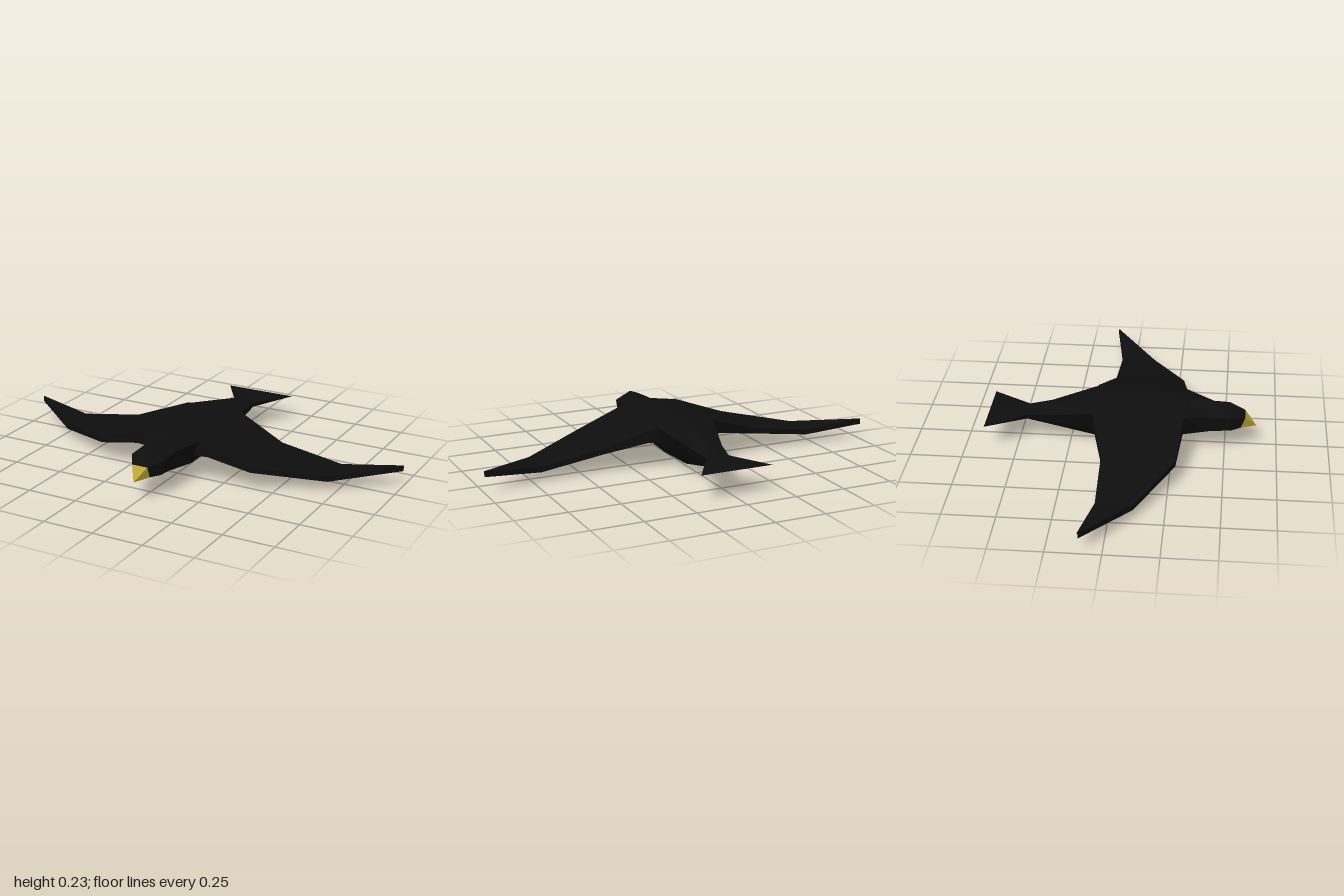
import * as THREE from 'three';

// Skins a list of closed rings; each quad becomes two flat triangles.
function loft(rings, flip = false) {
  const pos = [];
  const tri = (a, b, c) => pos.push(...a, ...(flip ? c : b), ...(flip ? b : c));
  for (let i = 0; i < rings.length - 1; i++) {
    const r = rings[i], s = rings[i + 1], n = r.length;
    for (let k = 0; k < n; k++) {
      const m = (k + 1) % n;
      tri(r[k], r[m], s[m]);
      tri(r[k], s[m], s[k]);
    }
  }
  const g = new THREE.BufferGeometry();
  g.setAttribute('position', new THREE.Float32BufferAttribute(pos, 3));
  g.computeVertexNormals();
  return g;
}

// Six-sided, mirrored body ring: ridge, shoulder, flank and keel.
const ring = (z, top, [sx, sy], [mx, my], keel, zs = z, zm = z, zk = z) => [
  [0, top, z], [sx, sy, zs], [mx, my, zm], [0, keel, zk], [-mx, my, zm], [-sx, sy, zs],
];

export function createModel() {
  const black = new THREE.MeshStandardMaterial({ color: 0x0e0e0e, flatShading: true });
  black.name = 'black feathers';
  const gold = new THREE.MeshStandardMaterial({ color: 0xb8a430, flatShading: true });
  gold.name = 'gold beak';

  const bird = new THREE.Group();
  bird.name = 'bird';
  const add = (name, geometry, material) => {
    const mesh = new THREE.Mesh(geometry, material);
    mesh.name = name;
    bird.add(mesh);
  };

  // Beak
  const beakBase = ring(0.595, 0.165, [0.04, 0.165], [0.04, 0.11], 0.09, 0.595, 0.575, 0.535);
  const beakTip = beakBase.map(() => [0, 0.105, 0.65]);
  add('beak', loft([beakTip, beakBase]), gold);

  // Head, body and the narrowing rear
  const tailRoot = ring(-0.46, 0.152, [0.057, 0.14], [0.05, 0.115], 0.096);
  add('body', loft([
    beakBase,
    ring(0.535, 0.215, [0.085, 0.18], [0.07, 0.11], 0.089, 0.52, 0.53, 0.53),
    ring(0.45, 0.227, [0.085, 0.185], [0.085, 0.108], 0.06, 0.41, 0.41, 0.42),
    ring(0.305, 0.233, [0.145, 0.21], [0.1, 0.1], 0.038),
    ring(0.11, 0.233, [0.145, 0.212], [0.105, 0.096], 0.002),
    ring(-0.13, 0.222, [0.145, 0.208], [0.09, 0.1], 0.012),
    ring(-0.35, 0.19, [0.078, 0.155], [0.062, 0.11], 0.061),
    tailRoot,
  ]), black);

  // Flared tail, thinning to a sharp edge
  add('tail', loft([
    tailRoot,
    ring(-0.65, 0.133, [0.18, 0.133], [0.18, 0.133], 0.133),
  ]), black);

  // Wings: x, trailing z, leading z, top y, bottom y
  const stations = [
    [0.08, -0.12, 0.295, 0.2, 0.125],
    [0.145, -0.13, 0.305, 0.212, 0.137],
    [0.19, -0.118, 0.301, 0.196, 0.138],
    [0.4, -0.065, 0.28, 0.122, 0.094],
    [0.71, -0.06, 0.11, 0.074, 0.048],
    [1, -0.107, -0.103, 0.107, 0.08],
  ];
  for (const side of [1, -1]) {
    const rings = stations.map(([x, back, front, top, low]) => [
      [side * x, top, back], [side * x, top, front], [side * x, low, front], [side * x, low, back],
    ]);
    add(side > 0 ? 'leftWing' : 'rightWing', loft(rings, side < 0), black);
  }
  return bird;
}
